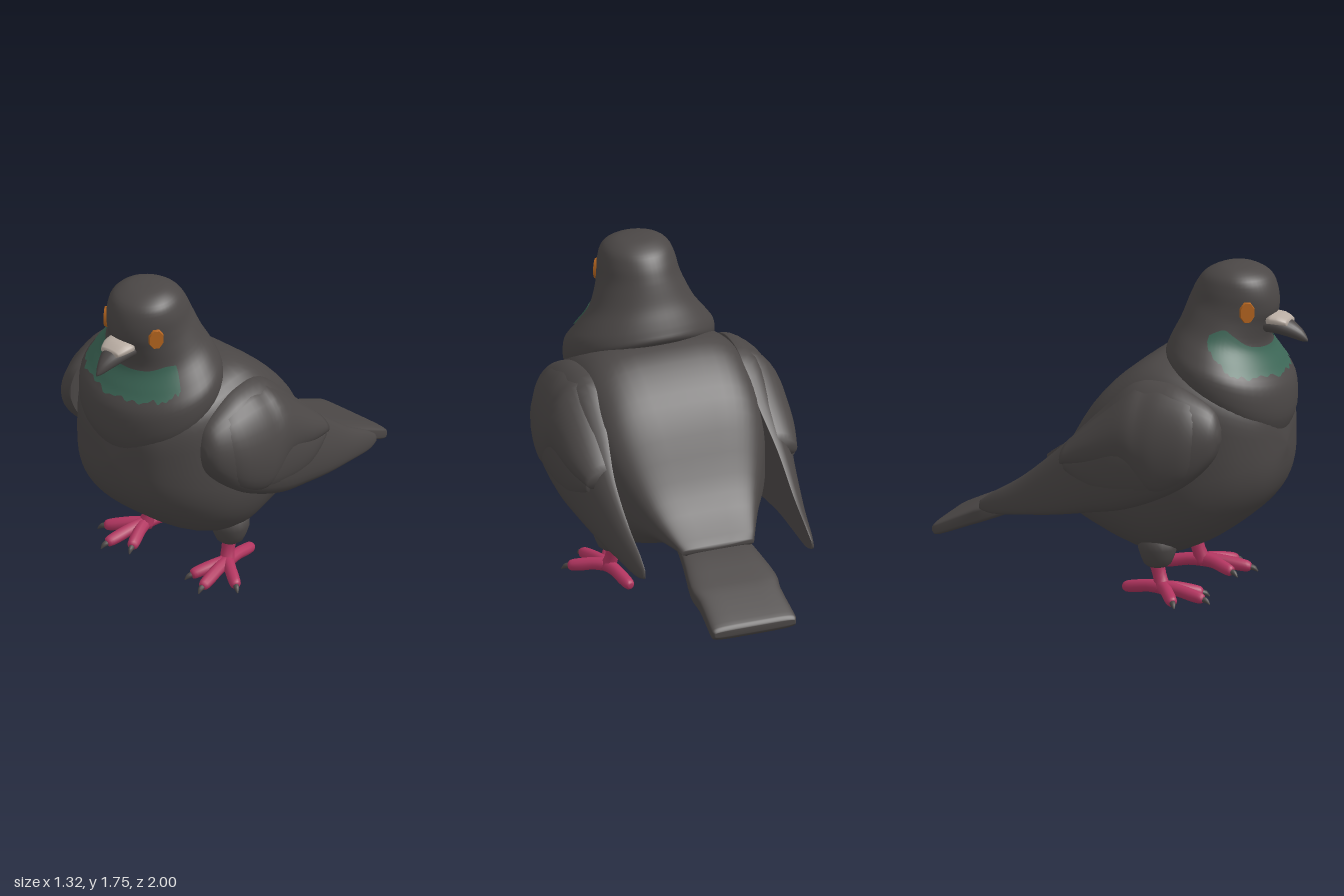
import * as THREE from 'three';

const mat = (name, color) => Object.assign(new THREE.MeshStandardMaterial({ color }), { name });

// Smooth interpolation through rows of numbers, t from 0 to rows.length - 1
function sample(rows, t) {
  const last = rows.length - 1;
  const i = Math.min(Math.floor(t), last - 1), f = t - i;
  const row = (k) => rows[Math.max(0, Math.min(last, k))];
  const [a, b, c, d] = [row(i - 1), row(i), row(i + 1), row(i + 2)];
  return b.map((p, k) => p + 0.5 * f * (c[k] - a[k] +
    f * (2 * a[k] - 5 * p + 4 * c[k] - d[k] + f * (3 * (p - c[k]) + d[k] - a[k]))));
}

// Closed skin over rings of points, capped at both ends and facing outward
function loft(rings) {
  const n = rings[0].length, m = rings.length, pts = rings.flat(), index = [];
  const quad = (a, b, c, d) => index.push(a, b, c, a, c, d);
  for (let j = 0; j < m - 1; j++) for (let i = 0; i < n; i++) {
    const k = (i + 1) % n;
    quad(j * n + i, j * n + k, (j + 1) * n + k, (j + 1) * n + i);
  }
  [0, m - 1].forEach((j) => {
    const mid = new THREE.Vector3();
    rings[j].forEach((p) => mid.addScaledVector(p, 1 / n));
    const c = pts.push(mid) - 1;
    for (let i = 0; i < n; i++) {
      const a = j * n + i, b = j * n + (i + 1) % n;
      j ? index.push(a, b, c) : index.push(b, a, c);
    }
  });
  let volume = 0;
  for (let i = 0; i < index.length; i += 3) {
    const [a, b, c] = [pts[index[i]], pts[index[i + 1]], pts[index[i + 2]]];
    volume += a.dot(b.clone().cross(c));
  }
  if (volume < 0) index.reverse();
  const g = new THREE.BufferGeometry().setFromPoints(pts).setIndex(index);
  g.computeVertexNormals();
  return g;
}

function loftRows(rows, steps, makeRing) {
  const rings = [], total = (rows.length - 1) * steps;
  for (let i = 0; i <= total; i++) rings.push(makeRing(sample(rows, i / steps)));
  return loft(rings);
}

const pow = (v, e) => Math.sign(v) * Math.abs(v) ** e;
const around = (n, fn) => Array.from({ length: n }, (_, i) => fn((i / n) * Math.PI * 2));

// Upright rounded cross-section; row is [z, bottom, top, half width]
const section = (top, bottom, n = 48) => ([z, y0, y1, w]) => around(n, (a) => {
  const e = 2 / (Math.sin(a) > 0 ? top : bottom);
  return new THREE.Vector3(w * pow(Math.cos(a), e),
    (y0 + y1) / 2 + ((y1 - y0) / 2) * pow(Math.sin(a), e), z);
});

// Wing cross-section, flat inside and fullest low on the outside; row is [z, bottom, top, inner x, outer x]
const wingSection = ([z, y0, y1, xi, xo]) => around(32, (a) => {
  const s = Math.sin(a), fullness = Math.cos(a) > 0 ? 0.55 : 1;
  return new THREE.Vector3(s > 0 ? xi + (xo - xi) * s ** fullness : xi,
    y0 + (y1 - y0) * ((1 - Math.cos(a)) / 2) ** 1.45, z);
});

// Tapered round limb; row is [x, y, z, radius]
function limb(rows, steps = 3) {
  const p = (r) => new THREE.Vector3(r[0], r[1], r[2]);
  const dir = p(rows[rows.length - 1]).sub(p(rows[0])).normalize();
  const u = new THREE.Vector3(Math.abs(dir.y) > 0.8 ? 1 : 0, Math.abs(dir.y) > 0.8 ? 0 : 1, 0).cross(dir).normalize();
  const v = dir.clone().cross(u);
  return loftRows(rows, steps, (r) => around(10, (a) =>
    p(r).addScaledVector(u, r[3] * Math.cos(a)).addScaledVector(v, r[3] * Math.sin(a))));
}

// Neck and head rings: [front z, front y, back z, back y, half width, face taper]
const NECK = [
  [0.86, 0.87, 0.28, 1.27, 0.36, 0], [0.905, 0.98, 0.25, 1.31, 0.4, 0],
  [0.9, 1.13, 0.26, 1.345, 0.395, 0], [0.84, 1.23, 0.285, 1.4, 0.347, 0],
  [0.78, 1.34, 0.32, 1.47, 0.28, 0], [0.8, 1.45, 0.35, 1.55, 0.236, 0.06],
  [0.83, 1.53, 0.37, 1.6, 0.215, 0.08], [0.825, 1.62, 0.4, 1.66, 0.2, 0],
  [0.79, 1.7, 0.445, 1.715, 0.172, -0.06], [0.715, 1.745, 0.52, 1.752, 0.112, 0],
  [0.64, 1.76, 0.59, 1.762, 0.035, 0],
];
function neckPoint(a, [fz, fy, bz, by, w, taper]) {
  const c = Math.cos(a);
  return new THREE.Vector3(w * Math.sin(a) * (1 - taper * Math.max(0, c)),
    (fy + by) / 2 + ((fy - by) / 2) * c, (fz + bz) / 2 + ((fz - bz) / 2) * c);
}
function onNeck(a, v) {
  const at = (x, y) => neckPoint(x, sample(NECK, y)), e = 0.01, point = at(a, v);
  const normal = at(a + e, v).sub(point).cross(at(a, v + e).sub(point)).normalize();
  return { point, normal };
}

// Thin ragged throat patch following the neck; rows are [angle, lower ring, upper ring]
function throatPatch() {
  const rows = [[-1.55, 3.8, 4.3], [-1.3, 3.1, 4.7], [-1.05, 2.55, 4.5], [-0.6, 2.7, 4.1],
    [0, 2.65, 4], [0.5, 2.65, 4], [0.85, 2.65, 4.15], [1.08, 2.95, 4.1]];
  const nu = 90, nv = 10, pts = [], index = [];
  for (let i = 0; i <= nu; i++) {
    const [a, lo, hi] = sample(rows, (i / nu) * (rows.length - 1));
    const rag = 0.06 * Math.sin(i * 1.3) + 0.06 * Math.sin(i * 0.47 + 1) + 0.05 * Math.sin(i * 0.83 + 2);
    for (let j = 0; j <= nv; j++) {
      const { point, normal } = onNeck(a, lo + rag + ((hi - lo - rag) * j) / nv);
      pts.push(point.addScaledVector(normal, 0.006));
      if (i < nu && j < nv) {
        const k = i * (nv + 1) + j, r = k + nv + 1;
        index.push(k, r, r + 1, k, r + 1, k + 1);
      }
    }
  }
  const g = new THREE.BufferGeometry().setFromPoints(pts).setIndex(index);
  g.computeVertexNormals();
  return g;
}

export function createModel() {
  const model = new THREE.Group();
  model.name = 'pigeon';
  const plumage = mat('dark grey plumage', 0x4b4746);
  const green = mat('green throat', 0x3c6656);
  green.side = THREE.DoubleSide;
  const orange = mat('orange eye', 0xb5651f);
  const pink = mat('pink leg', 0xb23560);
  const pale = mat('pale cere', 0xb8aca2);
  const add = (name, geometry, material, parent = model) => {
    const mesh = new THREE.Mesh(geometry, material);
    mesh.name = name;
    parent.add(mesh);
    return mesh;
  };

  // Body and tail
  add('body', loftRows([
    [-0.5, 0.44, 0.485, 0.2], [-0.3, 0.43, 0.67, 0.305], [-0.08, 0.325, 1.02, 0.435],
    [0.1, 0.245, 1.2, 0.475], [0.28, 0.2, 1.285, 0.485], [0.5, 0.285, 1.25, 0.478],
    [0.68, 0.41, 1.19, 0.41], [0.8, 0.53, 1.09, 0.305], [0.86, 0.65, 0.99, 0.19], [0.885, 0.79, 0.84, 0.02],
  ], 4, section(4, 2.7)), plumage);
  add('tail', loftRows([
    [-0.28, 0.45, 0.5, 0.17], [-0.5, 0.365, 0.455, 0.2], [-0.7, 0.285, 0.385, 0.238],
    [-0.8, 0.245, 0.345, 0.227], [-0.96, 0.185, 0.27, 0.235], [-0.99, 0.19, 0.25, 0.232], [-1, 0.205, 0.235, 0.222],
  ], 3, section(5, 5)), plumage);

  // Head, throat and beak
  add('neckAndHead', loftRows(NECK, 4, (r) => around(48, (a) => neckPoint(a, r))), plumage);
  add('throatPatch', throatPatch(), green);
  add('beak', loftRows([
    [0.77, 1.41, 1.51, 0.085], [0.84, 1.405, 1.507, 0.077], [0.91, 1.39, 1.48, 0.054],
    [0.97, 1.375, 1.435, 0.026], [1, 1.375, 1.39, 0.005],
  ], 3, section(2, 2, 20)), plumage);
  add('cere', loftRows([
    [0.8, 1.462, 1.52, 0.085], [0.85, 1.462, 1.516, 0.08], [0.885, 1.46, 1.502, 0.068], [0.905, 1.46, 1.49, 0.056],
  ], 2, section(2.2, 4, 20)), pale);

  for (const side of [1, -1]) {
    const label = side > 0 ? 'left' : 'right';
    const mirror = (rows) => rows.map(([x, ...rest]) => [x * side, ...rest]);

    // Eye
    const { point, normal } = onNeck(0.97 * side, 6.02);
    const eye = add(label + 'Eye', new THREE.CylinderGeometry(0.85, 1, 1, 8)
      .rotateY(Math.PI / 8).rotateX(Math.PI / 2).scale(0.045, 0.064, 0.028), orange);
    eye.position.copy(point);
    eye.lookAt(point.clone().add(normal));

    // Folded wing with two overlapping feather layers
    const wingRing = (r) => wingSection(r).map((p) => p.setX(p.x * side));
    add(label + 'Wing', loftRows([
      [0.7, 0.93, 0.99, 0.45, 0.49], [0.66, 0.83, 1.08, 0.44, 0.55], [0.55, 0.705, 1.15, 0.43, 0.61],
      [0.4, 0.61, 1.2, 0.42, 0.638], [0.2, 0.53, 1.18, 0.41, 0.64], [0, 0.49, 1, 0.42, 0.612],
      [-0.2, 0.455, 0.8, 0.455, 0.568], [-0.4, 0.43, 0.63, 0.46, 0.527],
      [-0.56, 0.415, 0.53, 0.46, 0.498], [-0.635, 0.43, 0.475, 0.463, 0.478],
    ], 4, wingRing), plumage);
    add(label + 'WingSecondaries', loftRows([
      [0.5, 0.7, 1.1, 0.44, 0.6], [0.38, 0.63, 1.14, 0.44, 0.644], [0.2, 0.6, 1.12, 0.44, 0.65],
      [0.05, 0.61, 1, 0.45, 0.633], [-0.05, 0.65, 0.9, 0.46, 0.608], [-0.13, 0.71, 0.81, 0.47, 0.58],
    ], 4, wingRing), plumage);
    add(label + 'WingCoverts', loftRows([
      [0.65, 0.86, 1.06, 0.45, 0.54], [0.55, 0.72, 1.14, 0.44, 0.618], [0.4, 0.64, 1.185, 0.44, 0.656],
      [0.3, 0.67, 1.18, 0.44, 0.658], [0.2, 0.76, 1.155, 0.44, 0.652],
      [0, 0.75, 0.98, 0.45, 0.628], [-0.15, 0.74, 0.84, 0.47, 0.585],
    ], 4, wingRing), plumage);

    // Feathered thigh
    const thigh = add(label + 'Thigh', new THREE.LatheGeometry(
      [[0, 0.17], [0.052, 0.172], [0.072, 0.188], [0.088, 0.225], [0.102, 0.27], [0.1, 0.31], [0.07, 0.36], [0, 0.39]]
        .map(([r, y]) => new THREE.Vector2(r, y)), 20), plumage);
    thigh.position.set(0.275 * side, 0, 0.275);

    // Shank, toes and claws
    const foot = new THREE.Group();
    foot.name = label + 'Foot';
    model.add(foot);
    add('shank', limb(mirror([[0.27, 0.2, 0.265, 0.042], [0.27, 0.12, 0.285, 0.036], [0.285, 0.045, 0.31, 0.044]])), pink, foot);
    const toes = { middleToe: [0.33, 0.555], outerToe: [0.455, 0.43], innerToe: [0.205, 0.5], hindToe: [0.25, 0.075] };
    for (const [name, [x, z]] of Object.entries(toes)) {
      const at = (f, y, r) => [0.285 + (x - 0.285) * f, y, 0.31 + (z - 0.31) * f, r];
      add(name, limb(mirror([at(0, 0.06, 0.038), at(0.35, 0.058, 0.033), at(0.7, 0.044, 0.033),
        at(0.93, 0.035, 0.028), at(1, 0.033, 0.014)])), pink, foot);
      if (name === 'hindToe') continue;
      const len = Math.hypot(x - 0.285, z - 0.31);
      add(name + 'Claw', limb(mirror([at(1 - 0.02 / len, 0.034, 0.018), at(1 + 0.015 / len, 0.027, 0.013),
        at(1 + 0.035 / len, 0.01, 0.003)])), plumage, foot);
    }
  }
  return model;
}
